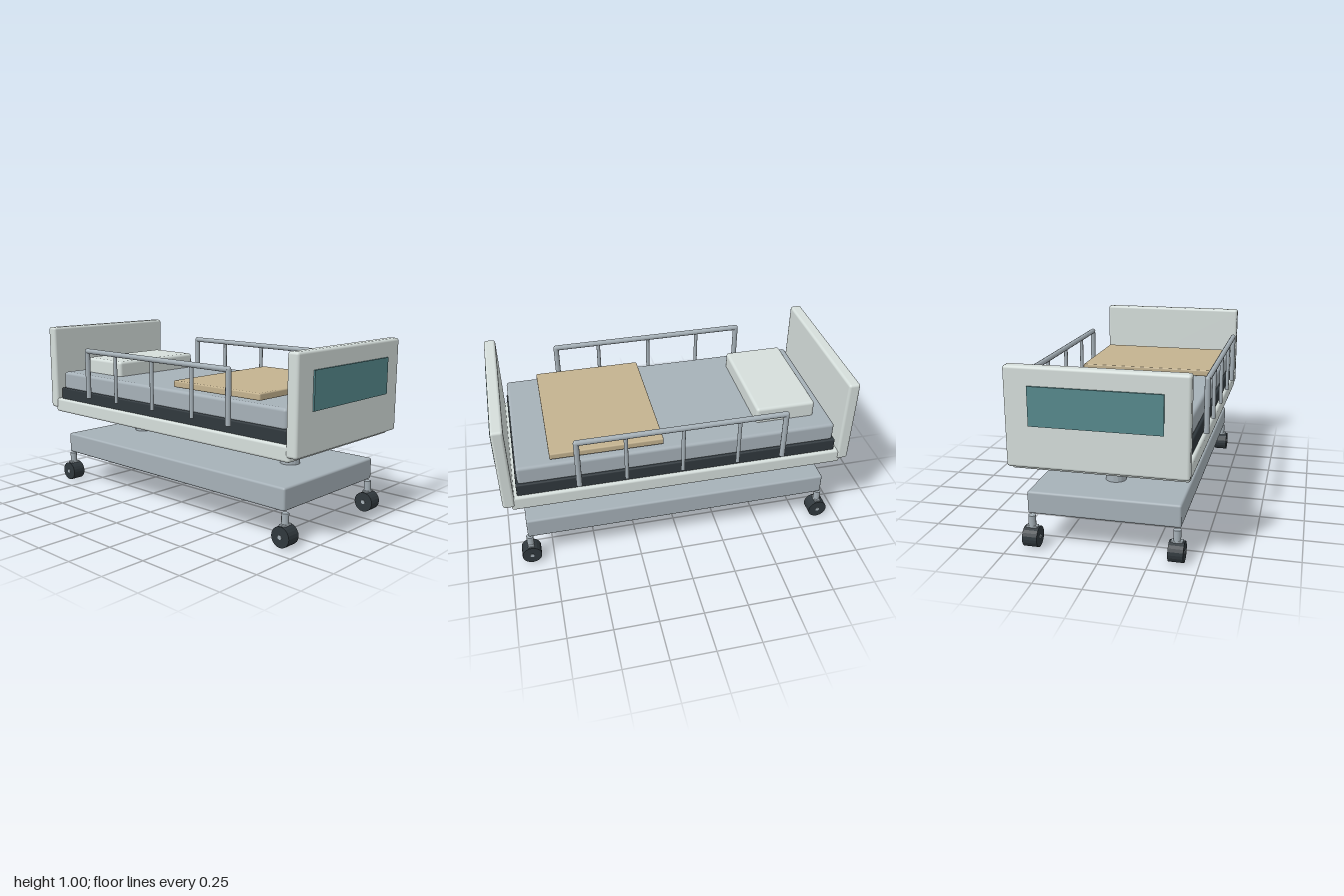
import * as THREE from 'three';
import { RoundedBoxGeometry } from 'three/addons/geometries/RoundedBoxGeometry.js';

const mat = (name, color) => {
  const m = new THREE.MeshStandardMaterial({ color });
  m.name = name;
  return m;
};

export function createModel() {
  const offWhite = mat('offWhite', 0xd5dedb);
  const grey = mat('blueGrey', 0xa6b1b8);
  const dark = mat('charcoal', 0x30383d);
  const teal = mat('teal', 0x56898d);
  const tan = mat('tan', 0xc3b28f);

  const bed = new THREE.Group();
  bed.name = 'adjustableBed';

  const add = (parent, name, geometry, material, x = 0, y = 0, z = 0) => {
    const mesh = new THREE.Mesh(geometry, material);
    mesh.name = name;
    mesh.position.set(x, y, z);
    parent.add(mesh);
    return mesh;
  };

  // Rounded block given by its width, its y range and its z range
  const block = (name, material, width, y0, y1, z0, z1, radius) =>
    add(bed, name, new RoundedBoxGeometry(width, y1 - y0, z1 - z0, 2, radius),
      material, 0, (y0 + y1) / 2, (z0 + z1) / 2);

  // Cylinder with faceted sides
  const faceted = (radius, height, sides) => {
    const g = new THREE.CylinderGeometry(radius, radius, height, sides).toNonIndexed();
    g.computeVertexNormals();
    return g;
  };

  // Wheeled base and lying surface
  block('base', grey, 0.81, 0.185, 0.308, -0.885, 0.885, 0.012);
  block('bedFrame', offWhite, 0.91, 0.455, 0.54, -0.945, 0.945, 0.014);
  block('mattressDeck', dark, 0.87, 0.53, 0.61, -0.908, 0.908, 0.008);
  block('mattress', grey, 0.842, 0.6, 0.712, -0.897, 0.897, 0.018);
  block('pillow', offWhite, 0.62, 0.69, 0.803, -0.81, -0.465, 0.018);
  block('trayTable', tan, 0.79, 0.722, 0.76, 0.09, 0.712, 0.008);

  for (const end of [1, -1]) {
    const label = end > 0 ? 'foot' : 'head';

    // End board with its painted panel
    block(label + 'Board', offWhite, 0.92, 0.48, 0.995,
      end * 0.958 - 0.033, end * 0.958 + 0.033, 0.015);
    add(bed, label + 'Panel', new THREE.BoxGeometry(0.67, 0.2, 0.009),
      teal, 0, 0.8, end * 0.9955);

    // Lifting column
    add(bed, label + 'Column', faceted(0.056, 0.17, 16), grey, 0, 0.382, end * 0.61);

    // Swivel casters
    for (const side of [1, -1]) {
      const caster = new THREE.Group();
      caster.name = label + (side > 0 ? 'Left' : 'Right') + 'Caster';
      caster.position.set(side * 0.384, 0, end * 0.877);
      bed.add(caster);
      add(caster, 'stem', new THREE.CylinderGeometry(0.02, 0.02, 0.075, 12), grey, 0, 0.1375);
      add(caster, 'forkPlate', new RoundedBoxGeometry(0.062, 0.014, 0.036, 1, 0.004), grey, 0, 0.112);
      add(caster, 'wheel', faceted(0.056, 0.08, 20), dark, 0, 0.056).rotation.z = Math.PI / 2;
      add(caster, 'axle', new THREE.CylinderGeometry(0.012, 0.012, 0.088, 10),
        grey, 0, 0.056).rotation.z = Math.PI / 2;
    }
  }

  // Side rails: a bent tube with three inner bars
  const r = 0.0155;
  for (const side of [1, -1]) {
    const rail = new THREE.Group();
    rail.name = side > 0 ? 'leftRail' : 'rightRail';
    rail.position.x = side * 0.475;
    bed.add(rail);

    add(rail, 'topBar', new THREE.CylinderGeometry(r, r, 1.15, 12), grey, 0, 0.876, 0)
      .rotation.x = Math.PI / 2;
    for (const z of [-0.572, 0.572]) {
      add(rail, 'endPost', new THREE.CylinderGeometry(r, r, 0.288, 12), grey, 0, 0.732, z);
      add(rail, 'corner', new THREE.SphereGeometry(r, 12, 8), grey, 0, 0.876, z);
    }
    for (const z of [-0.312, 0, 0.312])
      add(rail, 'innerBar', new THREE.CylinderGeometry(0.011, 0.011, 0.285, 10), grey, 0, 0.7325, z);
  }

  return bed;
}
